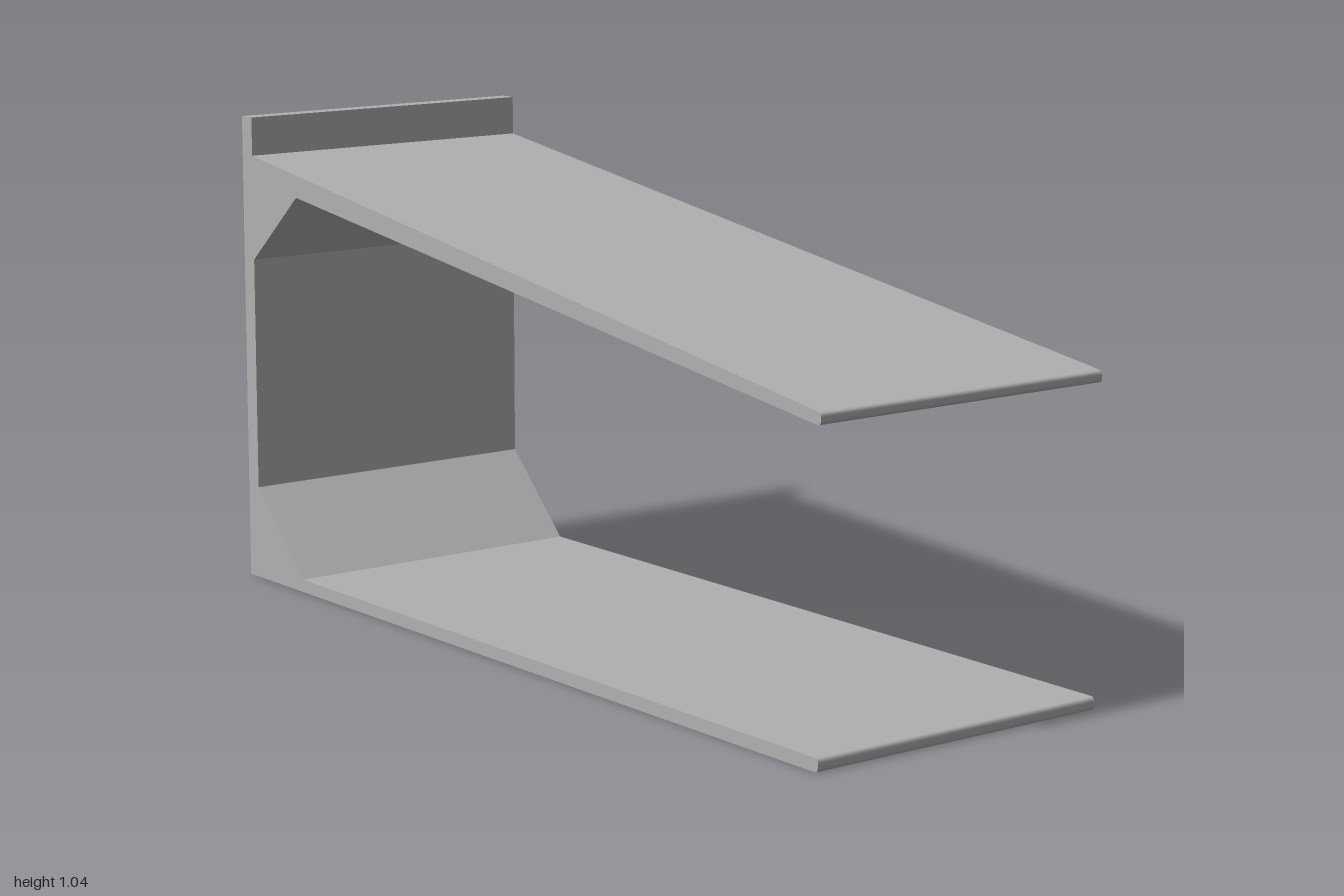
import * as THREE from 'three';

const DEPTH = 0.71;

export function createModel() {
  const group = new THREE.Group();
  group.name = 'bracket';
  const grey = new THREE.MeshStandardMaterial({ color: 0xb0b0b0 });
  grey.name = 'plain grey';

  // Side profile: back wall, level base plate and sloping upper plate
  const profile = new THREE.Shape();
  profile.moveTo(-1, 0);
  // base plate with rounded tip
  profile.lineTo(0.99, 0);
  profile.quadraticCurveTo(1, 0, 1, 0.01);
  profile.lineTo(1, 0.018);
  profile.quadraticCurveTo(1, 0.028, 0.99, 0.028);
  profile.lineTo(-0.78, 0.028);
  // lower gusset, inner wall, upper gusset
  profile.lineTo(-0.96, 0.208);
  profile.lineTo(-0.96, 0.727);
  profile.lineTo(-0.78, 0.885);
  // sloping plate with rounded tip
  profile.lineTo(0.99, 0.656);
  profile.quadraticCurveTo(0.999, 0.655, 1, 0.664);
  profile.lineTo(1, 0.672);
  profile.quadraticCurveTo(1, 0.68, 0.991, 0.681);
  profile.lineTo(-0.96, 0.96);
  // raised lip of the wall
  profile.lineTo(-0.96, 1.045);
  profile.lineTo(-1, 1.045);
  profile.closePath();

  const geometry = new THREE.ExtrudeGeometry(profile, {
    depth: DEPTH, bevelEnabled: false, curveSegments: 6,
  });
  geometry.translate(0, 0, -DEPTH / 2);

  const body = new THREE.Mesh(geometry, grey);
  body.name = 'wallAndPlates';
  group.add(body);
  return group;
}
